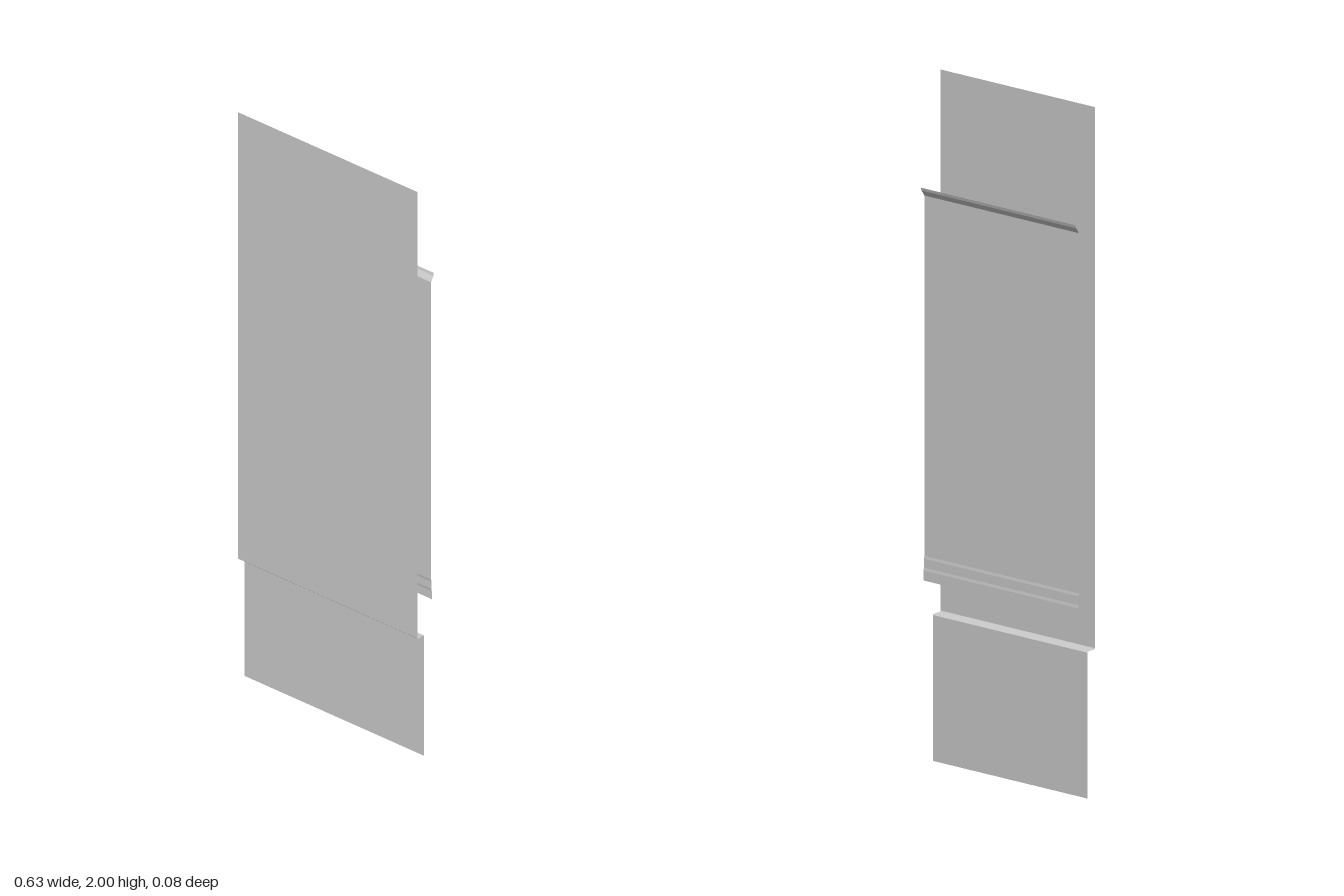
import * as THREE from 'three';

const HALF_WIDTH = 0.316;

// Thin folded sheet: a [z, y] profile, listed top to bottom, swept across the width.
// facing = 1 turns the outer face to the front, -1 to the back.
function foldedSheet(name, profile, facing) {
  const plane = new THREE.PlaneGeometry(2 * HALF_WIDTH, 1, 1, profile.length - 1);
  const pos = plane.attributes.position;
  for (let i = 0; i < pos.count; i++) {
    const [z, y] = profile[Math.floor(i / 2)];
    pos.setXYZ(i, pos.getX(i) * facing, y, z);
  }
  // Separate the faces so every fold stays crisp
  const geometry = plane.toNonIndexed();
  geometry.computeVertexNormals();
  const material = new THREE.MeshStandardMaterial({
    color: 0xcccccc, side: THREE.DoubleSide, flatShading: true,
  });
  const mesh = new THREE.Mesh(geometry, material);
  mesh.name = name;
  return mesh;
}

export function createModel() {
  const model = new THREE.Group();
  model.name = 'foldedPanels';

  // Tall front sheet, stepping back over a small ledge to the recessed lower part
  model.add(foldedSheet('frontPanel', [
    [0.0385, 2], [0.0385, 0.431], [0.036, 0.428], [0.011, 0.426], [0.008, 0.423], [0.008, 0],
  ], 1));

  // Shorter rear sheet with a flared top lip and a shallow step near its bottom
  model.add(foldedSheet('rearPanel', [
    [-0.0385, 1.67], [-0.036, 1.661], [-0.028, 1.65], [-0.025, 1.645],
    [-0.025, 0.6], [-0.0265, 0.592], [-0.0265, 0.566], [-0.028, 0.558], [-0.028, 0.529],
  ], -1));

  return model;
}
